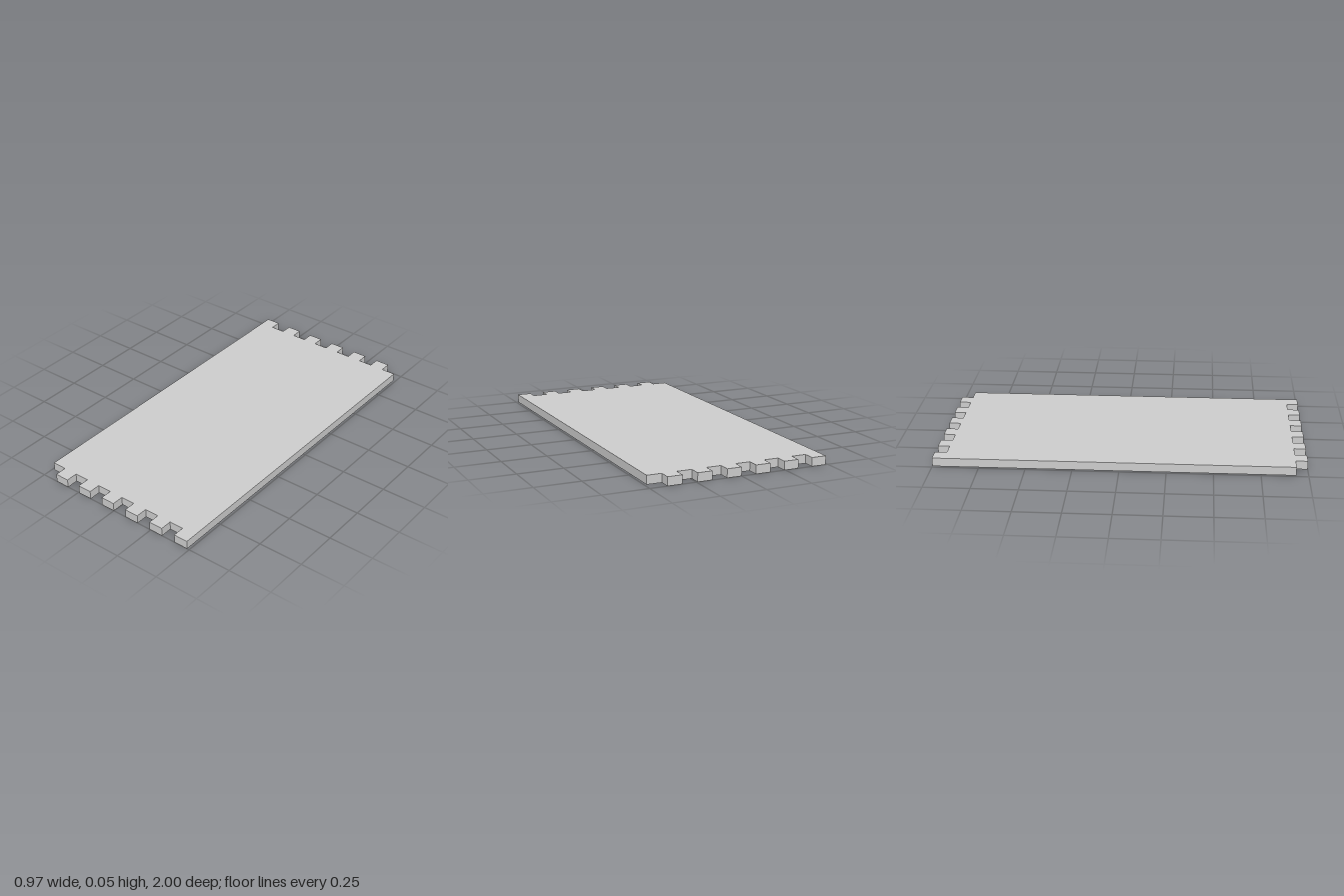
import * as THREE from 'three';

const HALF_WIDTH = 0.487;
const HALF_LENGTH = 1;
const THICKNESS = 0.047;
const TAB_DEPTH = 0.065;
const SLOTS = 12;

// Board outline: alternating finger joints on both short ends
function boardOutline() {
  const step = (2 * HALF_WIDTH) / SLOTS;
  const points = [];
  // Front end, left to right: odd slots are tabs
  for (let i = 0; i < SLOTS; i++) {
    const y = -(HALF_LENGTH - (i % 2 ? 0 : TAB_DEPTH));
    const x = -HALF_WIDTH + i * step;
    points.push(new THREE.Vector2(x, y), new THREE.Vector2(x + step, y));
  }
  // Back end is the front end turned half a revolution
  const back = points.map((p) => new THREE.Vector2(-p.x, -p.y));
  return new THREE.Shape([...points, ...back]);
}

export function createModel() {
  const group = new THREE.Group();
  group.name = 'fingerJointPanel';

  // Flat panel, extruded upward from the ground
  const geometry = new THREE.ExtrudeGeometry(boardOutline(), {
    depth: THICKNESS,
    bevelEnabled: false,
  });
  geometry.rotateX(-Math.PI / 2);

  const panel = new THREE.Mesh(
    geometry,
    new THREE.MeshStandardMaterial({ color: 0xcccccc, flatShading: true })
  );
  panel.name = 'panel';
  group.add(panel);
  return group;
}
